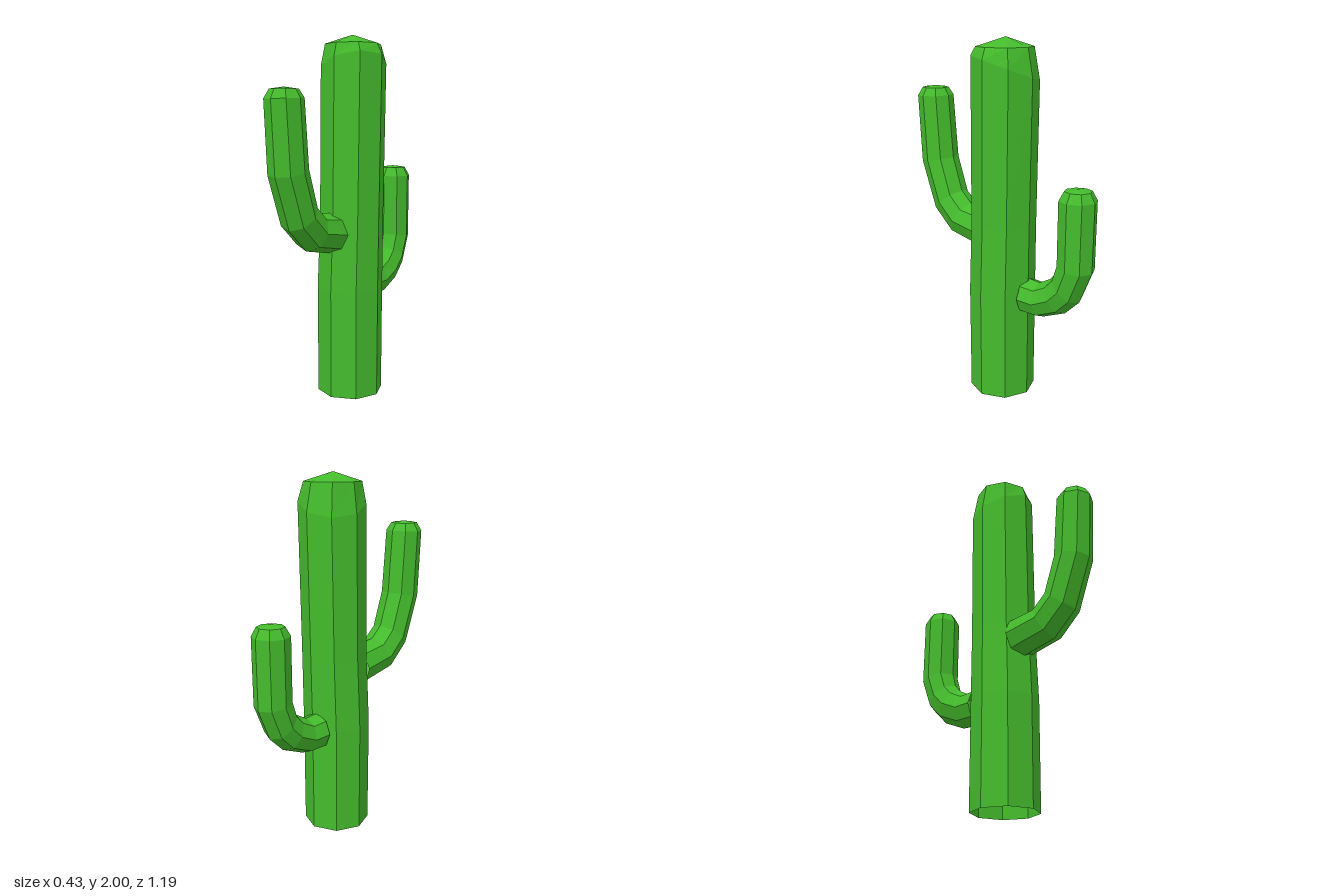
import * as THREE from 'three';

const SIDES = 8;
const material = new THREE.MeshStandardMaterial({ color: 0x44bb2c, flatShading: true, side: THREE.DoubleSide });

// Skin a list of octagonal rings and close the far end with a fan to the tip
function loft(name, rings, tip) {
  const pos = [];
  const tri = (...pts) => pts.forEach((p) => pos.push(p.x, p.y, p.z));
  rings.forEach((ring, k) => {
    const next = rings[k + 1];
    for (let i = 0; i < SIDES; i++) {
      const j = (i + 1) % SIDES;
      if (next) {
        tri(ring[i], next[i], ring[j]);
        tri(ring[j], next[i], next[j]);
      } else tri(ring[i], tip, ring[j]);
    }
  });
  const geo = new THREE.BufferGeometry();
  geo.setAttribute('position', new THREE.Float32BufferAttribute(pos, 3));
  geo.computeVertexNormals();
  const mesh = new THREE.Mesh(geo, material);
  mesh.name = name;
  return mesh;
}

// One ring spanned by the axes u and v
function makeRing(center, u, v, radius, twist = 0) {
  return Array.from({ length: SIDES }, (_, i) => {
    const a = twist + (i / SIDES) * Math.PI * 2;
    return center.clone()
      .addScaledVector(u, Math.cos(a) * radius)
      .addScaledVector(v, Math.sin(a) * radius);
  });
}

function makeTrunk() {
  const X = new THREE.Vector3(1, 0, 0);
  const Z = new THREE.Vector3(0, 0, 1);
  // x, y, z, radius
  const rows = [
    [0.02, 0, -0.025, 0.184],
    [0.02, 0.6, -0.025, 0.186],
    [0.02, 1.0, -0.037, 0.18],
    [0.02, 1.84, -0.05, 0.182],
    [0.02, 1.95, -0.045, 0.155],
  ];
  const rings = rows.map(([x, y, z, r]) =>
    makeRing(new THREE.Vector3(x, y, z), X, Z, r, THREE.MathUtils.degToRad(-13)));
  // Shoulder ring is tilted, lower towards the back right
  rings[3].forEach((p) => { p.y += 0.32 * (p.x - 0.02) + 0.16 * (p.z + 0.05); });
  return loft('trunk', rings, new THREE.Vector3(0.015, 2, -0.045));
}

// Arm bending upward in a vertical plane; path rows: distance out, height, tilt in degrees, radius
function makeArm(name, start, out, path, tipHeight) {
  const at = (d, y) => new THREE.Vector3(start.x + out.x * d, y, start.z + out.z * d);
  const up = new THREE.Vector3(0, 1, 0);
  const side = out.clone().cross(up);
  const rings = path.map(([d, y, tilt, r]) => {
    const t = THREE.MathUtils.degToRad(tilt);
    const u = out.clone().multiplyScalar(Math.sin(t)).addScaledVector(up, -Math.cos(t));
    return makeRing(at(d, y), u, side, r);
  });
  return loft(name, rings, at(path[path.length - 1][0], tipHeight));
}

export function createModel() {
  const group = new THREE.Group();
  group.name = 'cactus';
  group.add(makeTrunk());

  group.add(makeArm('frontArm', new THREE.Vector3(0.02, 0, 0.1),
    new THREE.Vector3(0.24, 0, 1).normalize(), [
      [0, 0.922, 8, 0.112],
      [0.195, 0.955, 27, 0.108],
      [0.3, 1.05, 52, 0.106],
      [0.385, 1.285, 80, 0.106],
      [0.412, 1.655, 88, 0.102],
      [0.412, 1.7, 90, 0.074],
    ], 1.71));

  group.add(makeArm('backArm', new THREE.Vector3(-0.035, 0, -0.185),
    new THREE.Vector3(-0.25, 0, -1).normalize(), [
      [0, 0.6, 0, 0.1],
      [0.1, 0.597, 10, 0.098],
      [0.205, 0.645, 32, 0.1],
      [0.27, 0.71, 50, 0.1],
      [0.318, 0.835, 82, 0.102],
      [0.32, 1.2, 90, 0.102],
      [0.32, 1.25, 90, 0.074],
    ], 1.26));

  return group;
}
